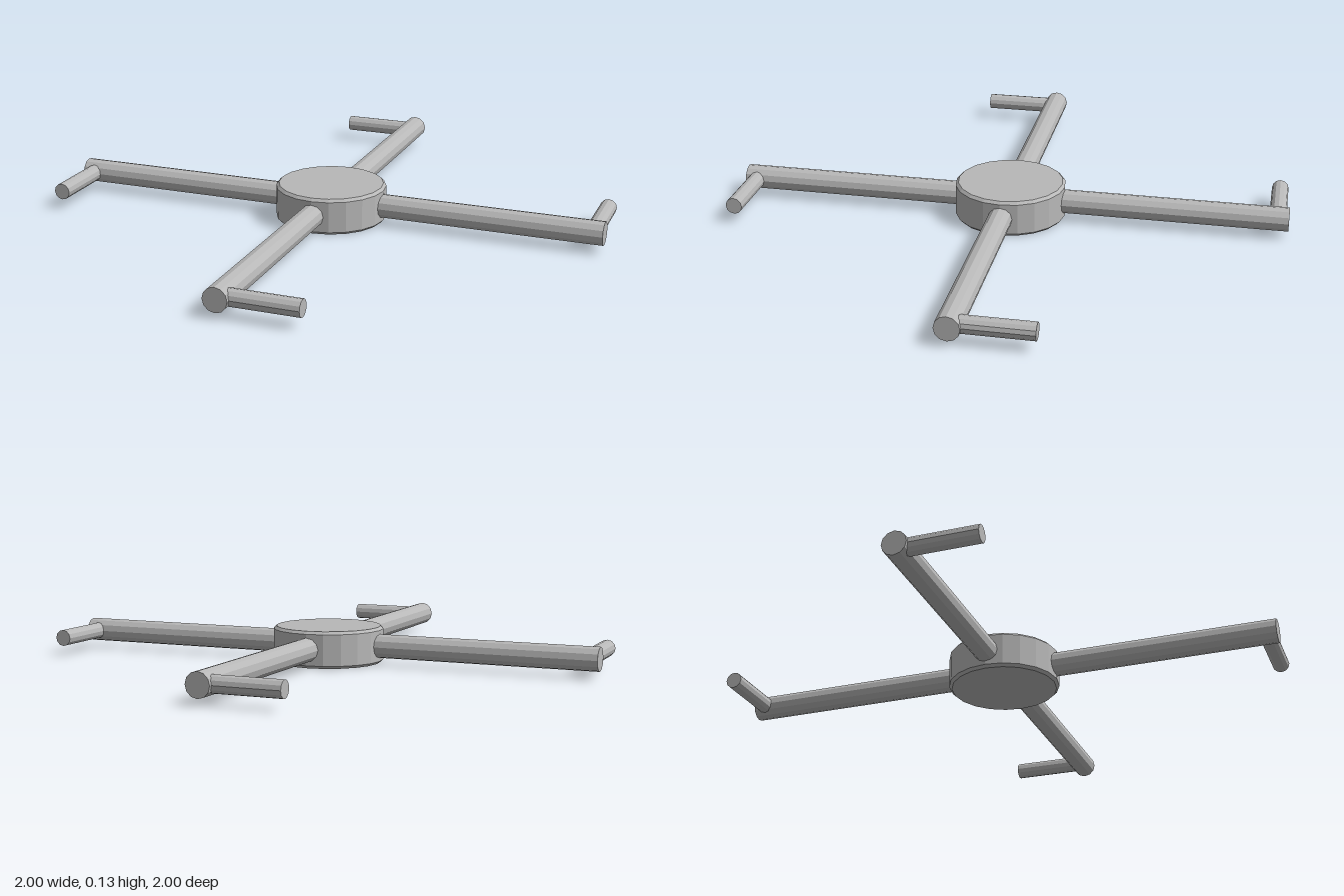
import * as THREE from 'three';

export function createModel() {
  const model = new THREE.Group();
  model.name = 'fourArmRotor';
  const grey = new THREE.MeshStandardMaterial({ color: 0xb8b8b8, flatShading: true });
  grey.name = 'grey';
  const midY = 0.066, hubHeight = 0.132, hubRadius = 0.2, bevel = 0.01;

  // Round hub with small bevels at both rims
  const profile = [
    [0, 0], [hubRadius - bevel, 0], [hubRadius, bevel],
    [hubRadius, hubHeight - bevel], [hubRadius - bevel, hubHeight], [0, hubHeight],
  ].map(([r, y]) => new THREE.Vector2(r, y));
  const hub = new THREE.Mesh(new THREE.LatheGeometry(profile, 20), grey);
  hub.name = 'hub';
  model.add(hub);

  // Horizontal rod running along +z from start to end
  function rod(name, radius, start, end) {
    const geometry = new THREE.CylinderGeometry(radius, radius, end - start, 12);
    geometry.rotateX(Math.PI / 2).translate(0, 0, (start + end) / 2);
    const mesh = new THREE.Mesh(geometry, grey);
    mesh.name = name;
    return mesh;
  }

  // Four arms, each with a thinner side nozzle near its end
  for (let i = 0; i < 4; i++) {
    const arm = new THREE.Group();
    arm.name = 'arm' + (i + 1);
    const nozzle = rod('nozzle', 0.03, 0, 0.275);
    nozzle.rotation.y = Math.PI / 2;
    nozzle.position.z = 0.96;
    arm.add(rod('armTube', 0.043, 0.12, 1), nozzle);
    arm.position.y = midY;
    arm.rotation.y = (i * Math.PI) / 2;
    model.add(arm);
  }
  return model;
}
